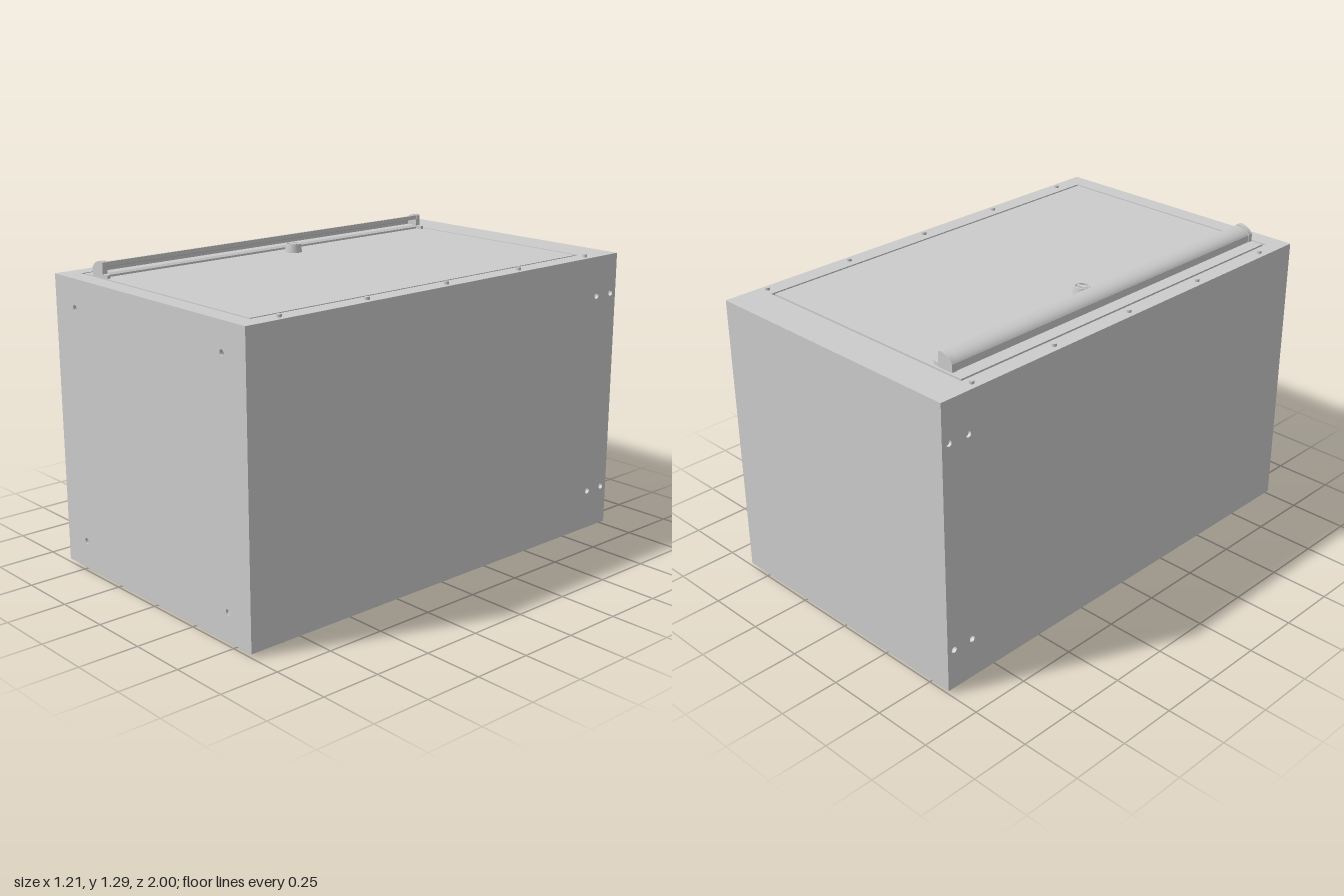
import * as THREE from 'three';

const grey = new THREE.MeshStandardMaterial({ color: 0xcccccc });
const T = 0.012;                                   // sheet thickness
const X = 0.605, Z = 1, Y0 = 0.015, Y1 = 1.225;    // cabinet extents

export function createModel() {
  const model = new THREE.Group();
  const add = (name, geometry, x = 0, y = 0, z = 0, parent = model) => {
    const mesh = new THREE.Mesh(geometry, grey);
    mesh.name = name;
    mesh.position.set(x, y, z);
    parent.add(mesh);
    return mesh;
  };
  const rect = (C, u0, v0, u1, v1) => new C([[u0, v0], [u1, v0], [u1, v1], [u0, v1]].map(p => new THREE.Vector2(...p)));
  const extrude = (shape, depth) => new THREE.ExtrudeGeometry(shape, { depth, bevelEnabled: false, curveSegments: 10 });
  // flat sheet with round holes
  const sheet = (u0, v0, u1, v1, holes = []) => {
    const s = rect(THREE.Shape, u0, v0, u1, v1);
    for (const [u, v, r] of holes) s.holes.push(new THREE.Path().absarc(u, v, r, 0, Math.PI * 2, true));
    return extrude(s, T);
  };

  // side walls, drilled near the back
  const sideHoles = [];
  for (const y of [0.187, 1.057]) for (const u of [0.875, 0.967]) sideHoles.push([u, y, 0.013]);
  const side = sheet(-Z, Y0, Z, Y1, sideHoles).rotateY(Math.PI / 2);
  add('leftWall', side, X - T);
  add('rightWall', side, -X);

  // front wall with corner holes, plain back wall
  const frontHoles = [];
  for (const x of [-0.47, 0.47]) for (const y of [0.133, 1.107]) frontHoles.push([x, y, 0.012]);
  add('frontWall', sheet(-X + T, Y0, X - T, Y1, frontHoles), 0, 0, Z - T);
  add('backWall', sheet(-X + T, Y0, X - T, Y1), 0, 0, -Z);

  // bottom, top frame, door and the rebate under the door gap (v = -z)
  const flat = g => g.rotateX(-Math.PI / 2);
  const frame = (a, b) => {
    const s = rect(THREE.Shape, ...a);
    s.holes.push(rect(THREE.Path, ...b));
    return flat(extrude(s, T));
  };
  const outer = [-X + T, -Z + T, X - T, Z - T];
  add('bottomPanel', flat(sheet(...outer)), 0, Y0);
  add('topFrame', frame(outer, [-0.536, -0.922, 0.53, 0.84]), 0, Y1 - T);
  add('door', flat(sheet(-0.526, -0.912, 0.52, 0.83)), 0, Y1 - T);
  add('doorRebate', frame([-0.56, -0.945, 0.553, 0.865], [-0.5, -0.885, 0.493, 0.805]), 0, Y1 - 2 * T - 0.004);

  // screws along the top edges, and two under the front
  const screw = new THREE.CylinderGeometry(0.01, 0.01, 0.018, 16);
  for (const x of [-0.573, 0.573]) {
    for (const z of [-0.825, -0.412, 0, 0.412, 0.825]) add('topScrew', screw, x, 1.227, z);
    add('bottomScrew', screw, x, 0.009, 0.83);
  }

  // long pull handle: a hooked channel open towards the door
  const handle = new THREE.Group();
  handle.name = 'handle';
  model.add(handle);
  const bar = new THREE.Shape();
  bar.moveTo(-0.468, 1.225);
  bar.lineTo(-0.4, 1.225);
  bar.lineTo(-0.4, 1.233);
  bar.lineTo(-0.412, 1.24);
  bar.lineTo(-0.455, 1.24);
  bar.lineTo(-0.455, 1.252);
  bar.quadraticCurveTo(-0.444, 1.27, -0.412, 1.273);
  bar.lineTo(-0.412, 1.267);
  bar.lineTo(-0.403, 1.267);
  bar.lineTo(-0.403, 1.285);
  bar.quadraticCurveTo(-0.452, 1.282, -0.468, 1.255);
  add('handleBar', extrude(bar, 1.69), 0, 0, -0.8, handle);

  // end caps with a rounded crown
  const cap = new THREE.Shape();
  cap.moveTo(-0.471, 1.225);
  cap.lineTo(-0.4, 1.225);
  cap.lineTo(-0.4, 1.284);
  cap.quadraticCurveTo(-0.404, 1.29, -0.415, 1.29);
  cap.quadraticCurveTo(-0.455, 1.285, -0.471, 1.257);
  const capGeo = extrude(cap, 0.022);
  // feet taper towards the door
  const foot = new THREE.Shape([[-0.402, 0], [-0.37, 0.002], [-0.37, 0.016], [-0.402, 0.022]].map(p => new THREE.Vector2(...p)));
  const footGeo = flat(extrude(foot, 0.014));
  for (const z of [-0.82, 0.888]) {
    add('handleCap', capGeo, 0, 0, z, handle);
    add('handleFoot', footGeo, 0, 1.225, z + 0.022, handle);
  }

  // round lock with a recessed face and a grip bar
  const lock = new THREE.Group();
  lock.name = 'lock';
  lock.position.set(-0.333, Y1, 0);
  model.add(lock);
  const profile = [[0.037, 0], [0.031, 0.035], [0.026, 0.035], [0.026, 0.027], [0, 0.027]];
  // separate bands keep the edges sharp
  for (let i = 0; i < profile.length - 1; i++) {
    const pts = [profile[i], profile[i + 1]].map(p => new THREE.Vector2(...p));
    add('lockBody', new THREE.LatheGeometry(pts, 32), 0, 0, 0, lock);
  }
  add('lockGrip', new THREE.BoxGeometry(0.046, 0.008, 0.014), 0, 0.031, 0, lock);

  return model;
}
